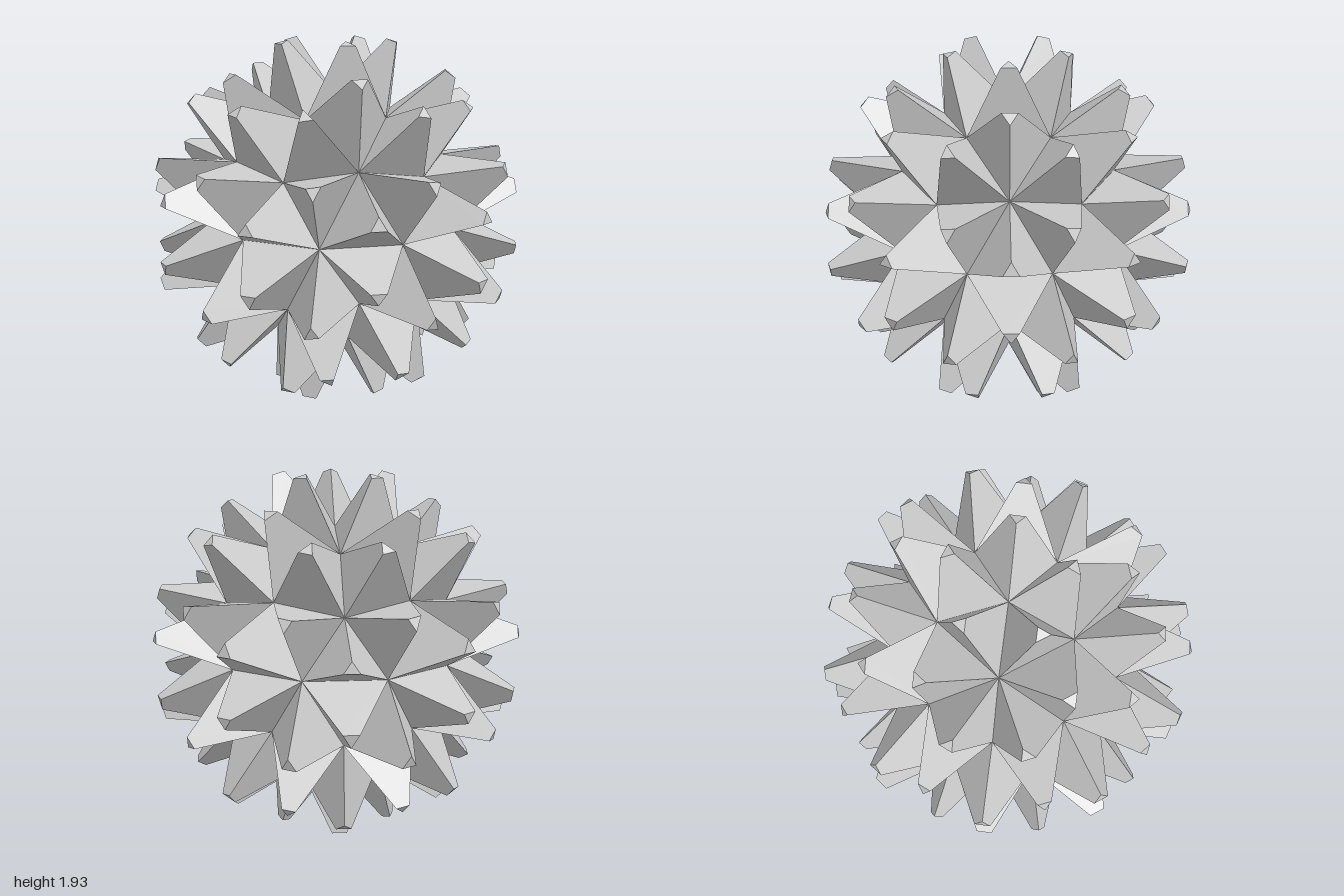
import * as THREE from 'three';

const CORE_RADIUS = 0.68;   // sphere on which the spike bases meet
const SPIKE_LENGTH = 0.362;
const TIP_SCALE = 0.19;     // size of the blunt tip against the base

// One blunt three-sided spike standing on triangle a, b, c
function spikeTriangles(a, b, c) {
  const base = [a, b, c];
  const tri = new THREE.Triangle(a, b, c);
  const normal = tri.getNormal(new THREE.Vector3());
  const centre = tri.getMidpoint(new THREE.Vector3());
  const tip = base.map((p) => p.clone().sub(centre).multiplyScalar(TIP_SCALE)
    .add(centre).addScaledVector(normal, SPIKE_LENGTH));
  const out = [...tip];
  for (let i = 0; i < 3; i++) {
    const j = (i + 1) % 3;
    out.push(base[i], base[j], tip[j], base[i], tip[j], tip[i]);
  }
  return out;
}

export function createModel() {
  const group = new THREE.Group();
  group.name = 'spikyBall';

  // Geodesic core of 80 triangles, turned so a five-fold vertex points up
  const core = new THREE.IcosahedronGeometry(CORE_RADIUS, 1);
  core.rotateZ(-Math.atan(2 / (1 + Math.sqrt(5))));
  const pos = core.getAttribute('position');
  const corner = (i) => new THREE.Vector3().fromBufferAttribute(pos, i);

  // A spike on every triangle
  const points = [];
  for (let i = 0; i < pos.count; i += 3) {
    points.push(...spikeTriangles(corner(i), corner(i + 1), corner(i + 2)));
  }
  const geometry = new THREE.BufferGeometry().setFromPoints(points);
  geometry.computeVertexNormals();

  // Rest the lowest tips on the ground
  geometry.computeBoundingBox();
  geometry.translate(0, -geometry.boundingBox.min.y, 0);

  const spikes = new THREE.Mesh(
    geometry,
    new THREE.MeshStandardMaterial({ color: 0xcccccc, flatShading: true })
  );
  spikes.name = 'spikes';
  group.add(spikes);
  return group;
}
